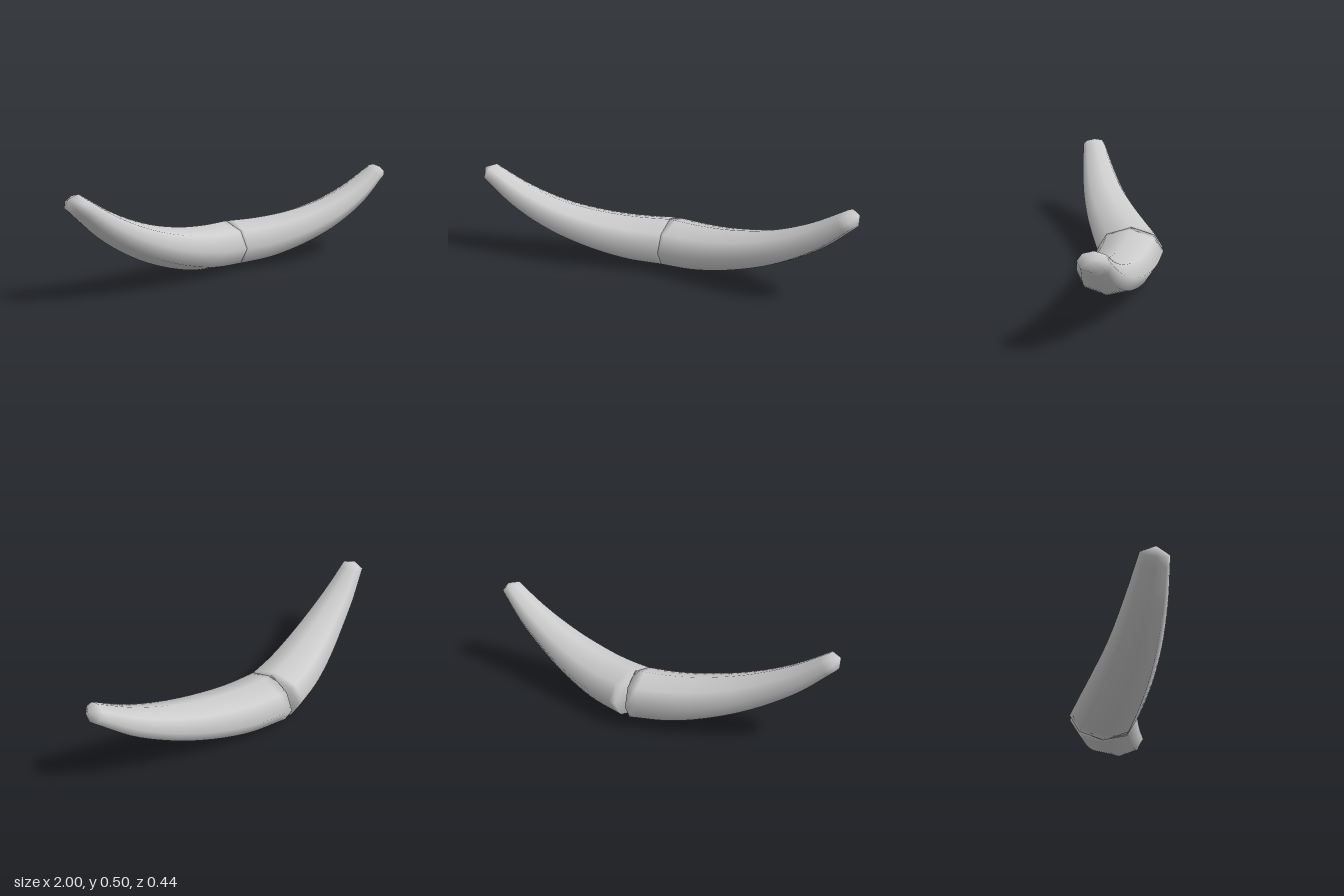
import * as THREE from 'three';

const SIDES = 8, RINGS = 22;
const v = (x, y, z) => new THREE.Vector3(x, y, z);

// Centre line of the left horn, root to tip
const path = new THREE.CatmullRomCurve3([
  v(-0.003, 0.127, -0.047), v(0.2, 0.137, -0.008), v(0.4, 0.175, 0.038),
  v(0.6, 0.24, 0.083), v(0.8, 0.342, 0.119), v(0.972, 0.47, 0.146),
]);

// Half width (x) and half height (y) at the same stations
const size = new THREE.CatmullRomCurve3([
  v(0.178, 0.123, 0), v(0.168, 0.117, 0), v(0.152, 0.103, 0),
  v(0.128, 0.087, 0), v(0.1, 0.068, 0), v(0.068, 0.045, 0),
]);

// Tapered octagonal tube with smooth normals; side = 1 left, -1 right
function hornGeometry(side) {
  const pos = [], idx = [];
  const add = (p) => pos.push(p.x * side, p.y, p.z);
  const tri = (a, b, c) => (side > 0 ? idx.push(a, b, c) : idx.push(a, c, b));

  for (let i = 0; i <= RINGS; i++) {
    const t = i / RINGS;
    const c = path.getPoint(t), T = path.getTangent(t), r = size.getPoint(t);
    const S = v(-T.z, 0, T.x).normalize();
    const U = S.clone().cross(T);
    for (let j = 0; j < SIDES; j++) {
      const a = (j / SIDES) * Math.PI * 2;
      add(c.clone().addScaledVector(S, Math.cos(a) * r.x).addScaledVector(U, Math.sin(a) * r.y));
    }
  }
  const root = (RINGS + 1) * SIDES, tip = root + 1, last = RINGS * SIDES;
  add(path.getPoint(0));
  add(path.getPoint(1).addScaledVector(path.getTangent(1), 0.034));

  for (let j = 0; j < SIDES; j++) {
    const k = (j + 1) % SIDES;
    for (let i = 0; i < RINGS; i++) {
      const a = i * SIDES, b = a + SIDES;
      tri(a + j, b + j, a + k);
      tri(a + k, b + j, b + k);
    }
    tri(root, j, k); // flat root cap
    tri(tip, last + k, last + j); // blunt tip
  }
  const g = new THREE.BufferGeometry();
  g.setAttribute('position', new THREE.Float32BufferAttribute(pos, 3));
  g.setIndex(idx);
  g.computeVertexNormals();
  return g;
}

export function createModel() {
  const model = new THREE.Group();
  model.name = 'hornPair';
  const material = new THREE.MeshStandardMaterial({ color: 0xcccccc });
  material.name = 'light grey';
  for (const [name, side] of [['leftHorn', 1], ['rightHorn', -1]]) {
    const horn = new THREE.Mesh(hornGeometry(side), material);
    horn.name = name;
    model.add(horn);
  }
  return model;
}
